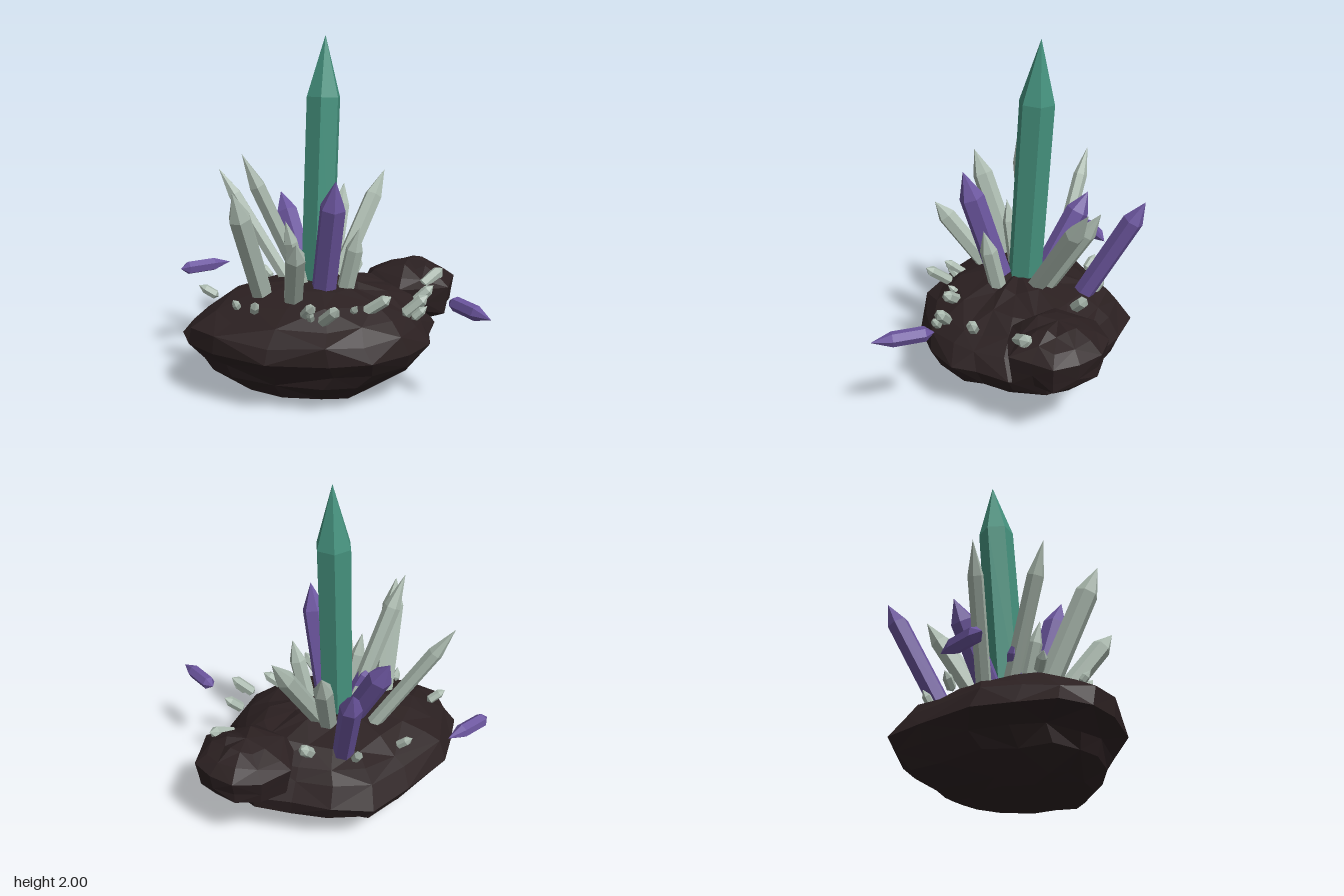
import * as THREE from 'three';

const mat = (name, color) => {
  const m = new THREE.MeshStandardMaterial({ color, flatShading: true });
  m.name = name;
  return m;
};

// Small seeded generator, returns -1..1
function seeded(seed) {
  let s = seed;
  return () => {
    s = (s * 16807) % 2147483647;
    return (s / 2147483647) * 2 - 1;
  };
}

// Faceted boulder: an outline (x, z) scaled through rings [y, scale, shiftX, shiftZ] about a centre
function rockGeometry(outline, rings, cx, cz, seed) {
  const rnd = seeded(seed);
  const n = outline.length;
  const pos = [];
  const idx = [];
  rings.forEach(([y, k, dx = 0, dz = 0]) => {
    const rough = k === 0 || k === 1 ? 0 : 1;
    outline.forEach(([x, z]) => {
      const s = k * (1 + 0.035 * rnd() * rough);
      pos.push(cx + dx + (x - cx) * s, Math.max(0, y + 0.018 * rnd() * rough), cz + dz + (z - cz) * s);
    });
  });
  for (let j = 0; j < rings.length - 1; j++) {
    for (let i = 0; i < n; i++) {
      const a = j * n + i, b = j * n + (i + 1) % n, c = b + n, d = a + n;
      if (rings[j][1] === 0) idx.push(a, c, d);
      else if (rings[j + 1][1] === 0) idx.push(a, b, d);
      else if ((i + j) % 2) idx.push(a, b, d, b, c, d);
      else idx.push(a, b, c, a, c, d);
    }
  }
  const g = new THREE.BufferGeometry();
  g.setAttribute('position', new THREE.Float32BufferAttribute(pos, 3));
  g.setIndex(idx);
  const flat = g.toNonIndexed();
  flat.computeVertexNormals();
  return flat;
}

// Six-sided crystal from base to tip; baseTip > 0 also points the lower end, spin turns its facets
function crystal(name, material, base, tip, r, tipLen, baseTip = 0, spin = 0) {
  const a = new THREE.Vector3(...base);
  const dir = new THREE.Vector3(...tip).sub(a);
  const len = dir.length();
  const profile = [[0, 0], [r, baseTip], [r, len - tipLen], [0, len]];
  const g = new THREE.LatheGeometry(profile.map(p => new THREE.Vector2(...p)), 6, spin).toNonIndexed();
  g.computeVertexNormals();
  const mesh = new THREE.Mesh(g, material);
  mesh.name = name;
  mesh.position.copy(a);
  mesh.quaternion.setFromUnitVectors(new THREE.Vector3(0, 1, 0), dir.normalize());
  return mesh;
}

export function createModel() {
  const root = new THREE.Group();
  root.name = 'crystalCluster';
  const rock = mat('darkRock', 0x2b2021);
  const green = mat('greenCrystal', 0x46937f);
  const purple = mat('purpleCrystal', 0x6c569f);
  const pale = mat('paleCrystal', 0xacbbb0);

  // Main boulder
  const mainOutline = [
    [-0.05, 0.57], [0.18, 0.56], [0.4, 0.46], [0.55, 0.32], [0.58, 0.18], [0.66, 0], [0.66, -0.2], [0.56, -0.37],
    [0.36, -0.47], [0.17, -0.59], [-0.05, -0.67], [-0.3, -0.55], [-0.6, -0.38], [-0.72, -0.2],
    [-0.82, -0.03], [-0.78, 0.15], [-0.65, 0.31], [-0.38, 0.5],
  ];
  const mainRings = [
    [0.005, 0, -0.19, -0.02], [0.03, 0.37, -0.13, -0.02], [0.075, 0.62, -0.02, 0.03], [0.165, 0.8, -0.02, 0.01],
    [0.245, 0.91, 0.03, -0.02], [0.33, 1], [0.425, 0.92, -0.02, 0.03], [0.5, 0.81, 0, 0.01],
    [0.56, 0.62], [0.61, 0.36], [0.635, 0],
  ];
  const boulder = new THREE.Mesh(rockGeometry(mainOutline, mainRings, -0.04, 0, 11), rock);
  boulder.name = 'mainBoulder';
  root.add(boulder);

  // Side boulder
  const sideOutline = [
    [0.44, 0], [0.6, 0.01], [0.74, -0.01], [0.79, -0.13], [0.84, -0.24], [0.78, -0.37],
    [0.68, -0.48], [0.53, -0.52], [0.35, -0.45], [0.27, -0.22],
  ];
  const sideRings = [
    [0.31, 0], [0.325, 0.55], [0.385, 0.9], [0.46, 0.95], [0.54, 1], [0.59, 0.76], [0.635, 0.42], [0.655, 0],
  ];
  const sideBoulder = new THREE.Mesh(rockGeometry(sideOutline, sideRings, 0.55, -0.25, 29), rock);
  sideBoulder.name = 'sideBoulder';
  root.add(sideBoulder);

  // Tall centre crystal
  root.add(crystal('centreCrystal', green, [-0.04, 0.55, -0.03], [0.02, 2, -0.12], 0.101, 0.34, 0, Math.PI / 4));

  // Purple crystals: base, tip, radius, point length
  [
    [[-0.025, 0.52, 0.09], [0.02, 1.26, 0.31], 0.073, 0.16],
    [[0.03, 0.5, -0.36], [0.09, 1.14, -0.7], 0.06, 0.13],
    [[-0.07, 0.52, -0.1], [-0.22, 1.07, -0.39], 0.069, 0.13],
    [[-0.08, 0.55, -0.02], [-0.25, 0.88, -0.05], 0.046, 0.09],
  ].forEach(c => root.add(crystal('purpleCrystal', purple, ...c)));

  // Loose floating crystals
  root.add(crystal('floatingCrystalBack', purple, [-0.84, 0.6, -0.385], [-0.54, 0.6, -0.51], 0.041, 0.11, 0.05));
  root.add(crystal('floatingCrystalFront', purple, [0.63, 0.6, 0.385], [0.76, 0.6, 0.69], 0.041, 0.11, 0.05));

  // Large pale crystals
  [
    [[0.06, 0.54, -0.08], [0.42, 1.19, -0.39], 0.053, 0.18],
    [[0.04, 0.52, -0.12], [0.18, 1.1, -0.46], 0.055, 0.15],
    [[-0.2, 0.53, 0.17], [-0.21, 0.98, 0.52], 0.056, 0.11],
    [[0.09, 0.53, 0.1], [0.17, 0.97, 0.18], 0.05, 0.13],
    [[-0.35, 0.52, 0.06], [-0.52, 1.21, 0.32], 0.063, 0.16],
    [[-0.1, 0.55, -0.06], [-0.46, 1.37, 0.04], 0.048, 0.2],
    [[-0.18, 0.53, -0.2], [-0.59, 1.22, -0.38], 0.042, 0.18],
    [[-0.12, 0.55, 0.02], [-0.23, 1, 0.09], 0.042, 0.13],
  ].forEach(c => root.add(crystal('paleCrystal', pale, ...c)));

  // Small shards scattered over the rock: lower end, upper end, radius
  [
    [[-0.61, 0.53, -0.05], [-0.72, 0.6, -0.06], 0.027],
    [[-0.28, 0.52, -0.39], [-0.35, 0.6, -0.45], 0.026],
    [[-0.01, 0.5, -0.43], [-0.03, 0.61, -0.5], 0.025],
    [[0.2, 0.52, -0.32], [0.28, 0.63, -0.4], 0.033],
    [[0.58, 0.54, -0.04], [0.73, 0.63, -0.11], 0.038],
    [[0.48, 0.53, 0.2], [0.59, 0.63, 0.2], 0.031],
    [[0.38, 0.52, 0.36], [0.51, 0.64, 0.39], 0.032],
    [[0.42, 0.51, 0.4], [0.5, 0.59, 0.42], 0.024],
    [[0.17, 0.53, 0.33], [0.31, 0.64, 0.39], 0.032],
    [[0.1, 0.53, 0.34], [0.125, 0.6, 0.4], 0.02],
    [[-0.07, 0.52, 0.41], [0, 0.64, 0.55], 0.032],
    [[-0.16, 0.52, 0.33], [-0.12, 0.63, 0.46], 0.03],
    [[-0.12, 0.52, 0.38], [-0.14, 0.6, 0.45], 0.022],
    [[-0.42, 0.53, 0.24], [-0.41, 0.61, 0.31], 0.026],
    [[-0.5, 0.54, 0.2], [-0.53, 0.61, 0.25], 0.022],
  ].forEach(([a, b, r]) => root.add(crystal('smallShard', pale, a, b, r, 0.04, 0.02)));

  return root;
}
